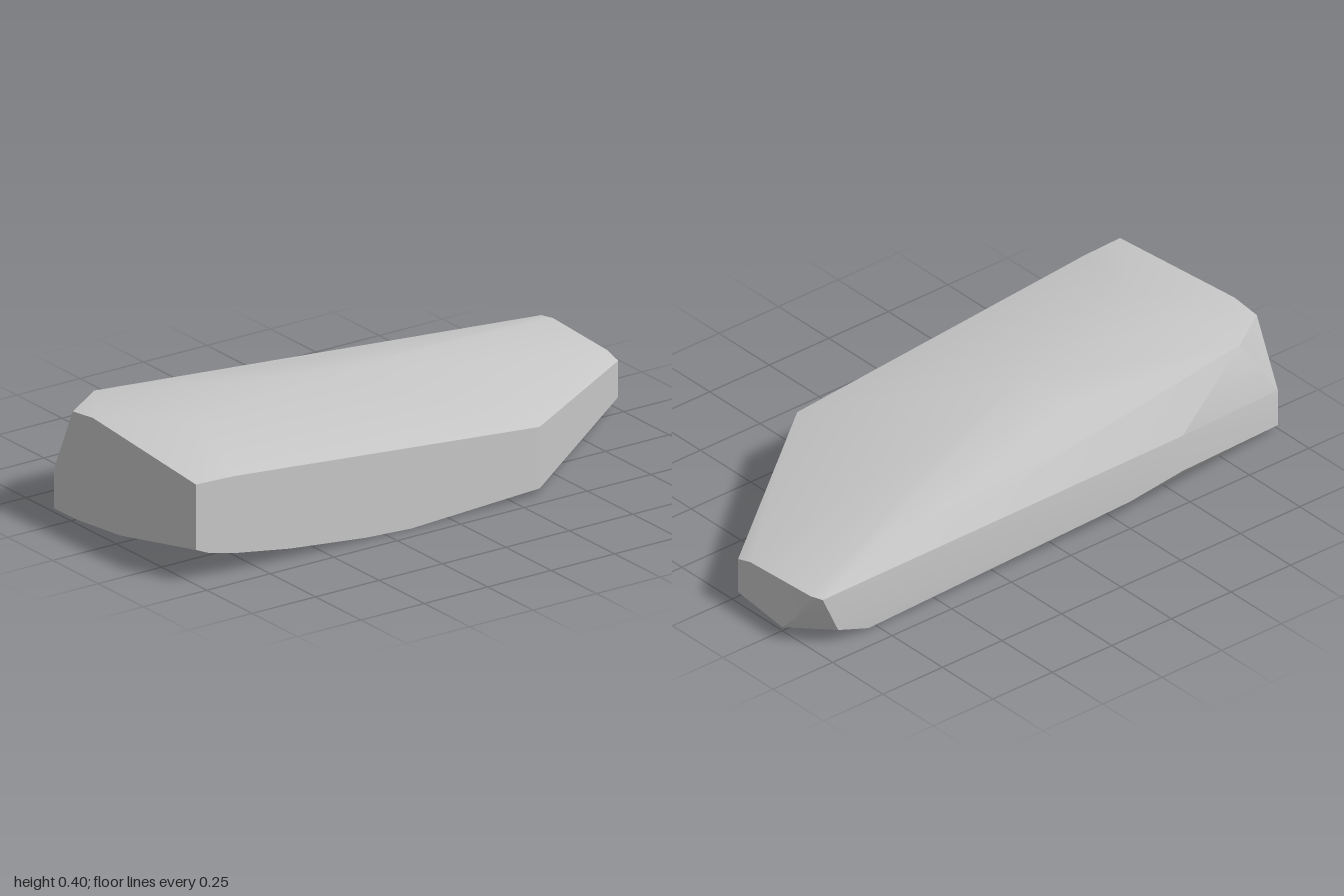
import * as THREE from 'three';
import { ConvexGeometry } from 'three/addons/geometries/ConvexGeometry.js';
import { toCreasedNormals } from 'three/addons/utils/BufferGeometryUtils.js';

// Corner points [x, y, z] of the slab, grouped by the face they bound
const frontFace = [
  [-0.345, 0.015, 1], [-0.345, 0.147, 1], [-0.24, 0.382, 1], [-0.13, 0.395, 1],
  [0.44, 0.347, 1], [0.44, 0.122, 1], [0.02, 0.038, 1], [-0.22, 0.016, 1],
];
const straightSide = [
  [0.44, 0.342, 0.85], [0.44, 0.237, -0.355], [0.44, 0.025, -0.355], [0.44, 0.002, 0.15],
  [0.44, 0.011, 0.33], [0.44, 0.042, 0.63], [0.44, 0.075, 0.84], [0.44, 0.1, 0.95],
];
const backFace = [
  [-0.03, 0.168, -1], [-0.09, 0.185, -1], [-0.39, 0.2, -1],
  [-0.32, 0.085, -1], [-0.25, 0.015, -1], [-0.03, 0.043, -1],
];
const chippedSide = [
  [-0.433, 0.2, -0.985], [-0.433, 0.06, -0.92], [-0.43, 0.013, -0.79],
  [-0.44, 0.055, 0.3], [-0.44, 0.082, 0.52], [-0.44, 0.215, 0.52], [-0.345, 0.384, 0.84],
];
const topCrown = [[0.1, 0.4, 0.75], [-0.12, 0.397, 0.78], [-0.05, 0.383, 0.16], [-0.25, 0.362, 0.2]];
const underside = [[0.3, 0.002, 0.15], [-0.3, 0.01, 0.75]];

export function createModel() {
  const group = new THREE.Group();
  group.name = 'rockSlab';

  const stone = new THREE.MeshStandardMaterial({ color: 0xc8c8c8 });
  stone.name = 'light grey stone';

  // The stone is the convex body around its corners, soft across shallow edges only
  const corners = [frontFace, straightSide, backFace, chippedSide, topCrown, underside]
    .flat().map((p) => new THREE.Vector3(...p));
  const slab = new THREE.Mesh(toCreasedNormals(new ConvexGeometry(corners), 0.45), stone);
  slab.name = 'slab';
  group.add(slab);
  return group;
}
